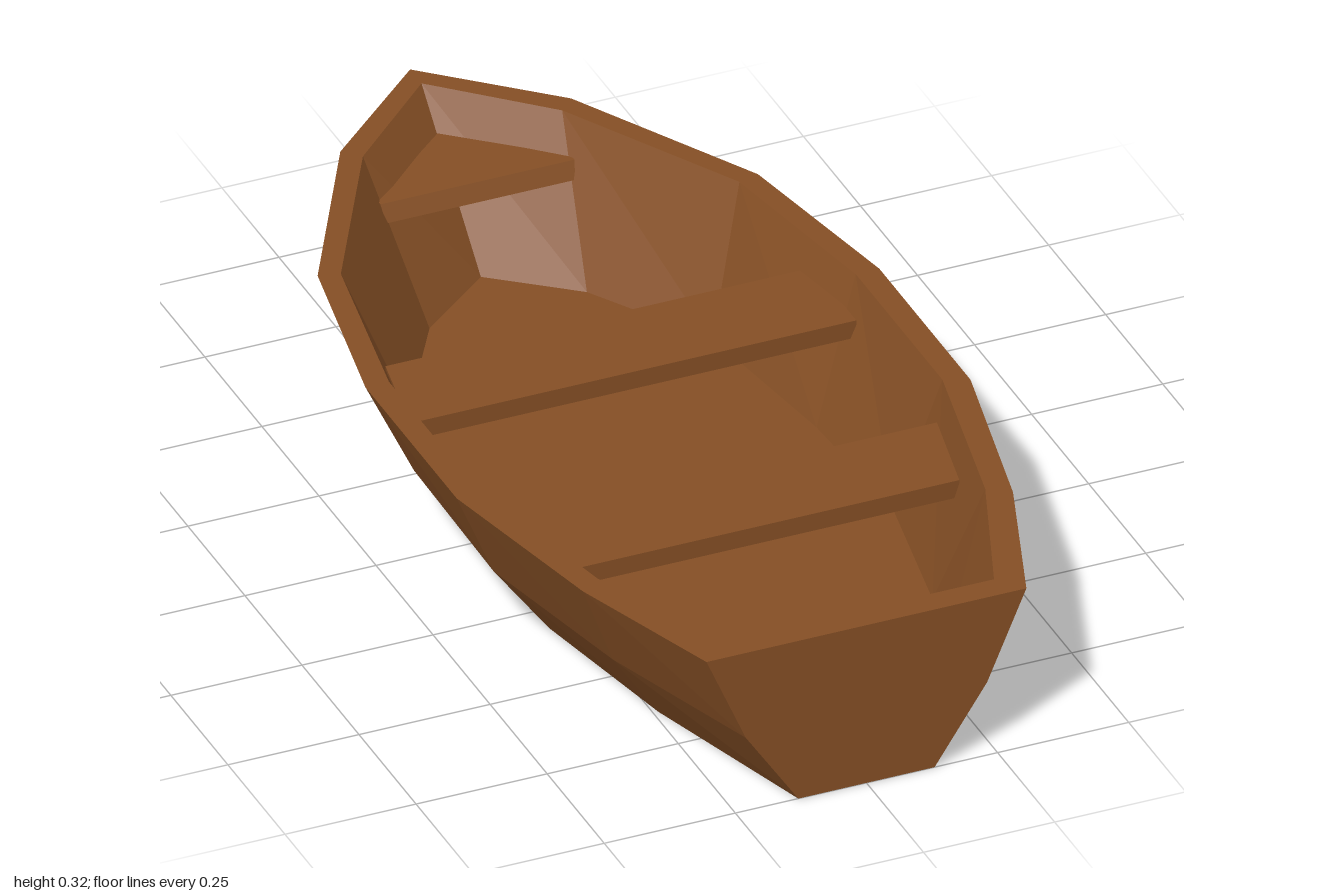
import * as THREE from 'three';

// Half outline [x, z] running bow to stern, mirrored into a closed ring at height y
function ring(y, half) {
  const left = half.map(([x, z]) => [x, y, z]);
  const right = half.filter(([x]) => x > 0).reverse().map(([x, z]) => [-x, y, z]);
  return [...left, ...right];
}

// Skin successive rings, closing the first with a downward cap and the last with an upward cap
function loft(name, rings, material) {
  const pos = [];
  const tri = (a, b, c) => pos.push(...a, ...b, ...c);
  const n = rings[0].length;
  for (let r = 0; r < rings.length - 1; r++) {
    const a = rings[r], b = rings[r + 1];
    for (let i = 0; i < n; i++) {
      const j = (i + 1) % n;
      tri(a[i], b[i], b[j]);
      tri(a[i], b[j], a[j]);
    }
  }
  const first = rings[0], last = rings[rings.length - 1];
  for (let i = 1; i < n - 1; i++) {
    tri(first[0], first[i], first[i + 1]);
    tri(last[0], last[i + 1], last[i]);
  }
  const geometry = new THREE.BufferGeometry();
  geometry.setAttribute('position', new THREE.Float32BufferAttribute(pos, 3));
  geometry.computeVertexNormals();
  const mesh = new THREE.Mesh(geometry, material);
  mesh.name = name;
  return mesh;
}

export function createModel() {
  const boat = new THREE.Group();
  boat.name = 'rowingBoat';
  const wood = new THREE.MeshStandardMaterial({ color: 0x854f25, flatShading: true });
  wood.name = 'brown wood';

  // Hull: keel plate, chine, outer rim, inner rim, inner floor
  boat.add(loft('hull', [
    ring(0, [[0, -0.69], [0.13, -0.57], [0.25, -0.33], [0.295, 0], [0.305, 0.31], [0.24, 0.64], [0.13, 1]]),
    ring(0.15, [[0, -0.86], [0.18, -0.69], [0.35, -0.38], [0.41, -0.04], [0.415, 0.32], [0.34, 0.67], [0.23, 1]]),
    ring(0.325, [[0, -1], [0.22, -0.8], [0.42, -0.44], [0.49, -0.07], [0.49, 0.33], [0.41, 0.7], [0.305, 1]]),
    ring(0.325, [[0, -0.95], [0.19, -0.77], [0.38, -0.43], [0.445, -0.07], [0.445, 0.31], [0.37, 0.67], [0.265, 0.95]]),
    ring(0.075, [[0, -0.69], [0.15, -0.57], [0.29, -0.34], [0.34, 0], [0.355, 0.3], [0.3, 0.6], [0.2, 0.85]]),
  ], wood));

  // Two cross benches, fitted to the curve of the sides
  const benches = {
    middleBench: [[0.395, -0.2], [0.42, -0.07], [0.42, -0.01]],
    sternBench: [[0.415, 0.355], [0.395, 0.45], [0.375, 0.545]],
  };
  for (const [name, half] of Object.entries(benches)) {
    boat.add(loft(name, [ring(0.235, half), ring(0.27, half)], wood));
  }

  // Triangular bow seat with a slightly raked front edge
  boat.add(loft('bowSeat', [
    ring(0.23, [[0, -0.87], [0.18, -0.71], [0.18, -0.69]]),
    ring(0.262, [[0, -0.88], [0.185, -0.72], [0.185, -0.705]]),
  ], wood));

  return boat;
}
